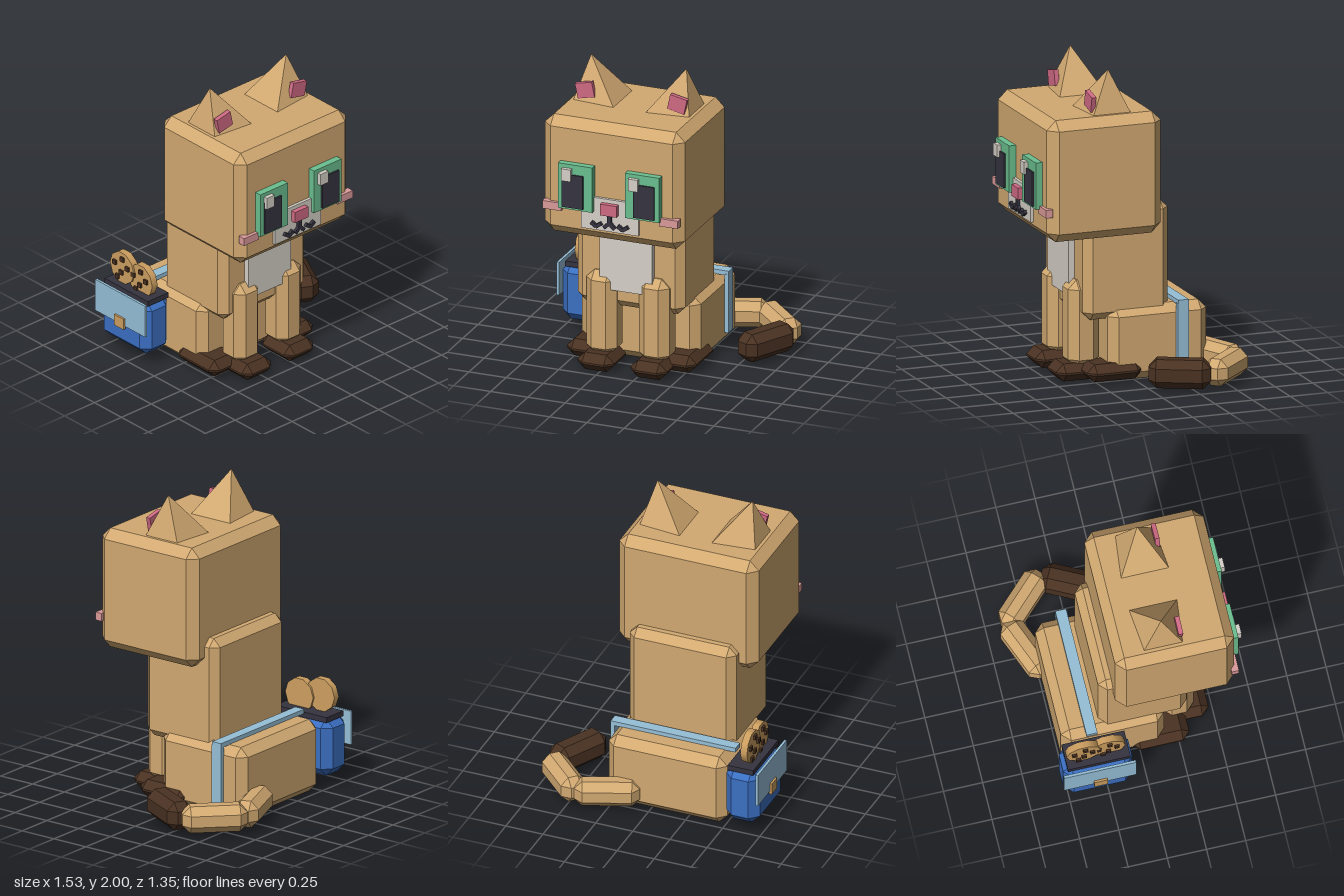
import * as THREE from 'three';
import { ConvexGeometry } from 'three/addons/geometries/ConvexGeometry.js';

const palette = {
  tanFur: 0xd2a971, darkBrown: 0x4a3222, cream: 0xd6d0c7, eyeGreen: 0x6abf8f, rose: 0xd06a84,
  blush: 0xdc9a9a, charcoal: 0x35333f, bagBlue: 0x3b6fc2, strapBlue: 0x96bfd7, biscuit: 0xcd9f60,
};
const MID = -0.105; // the cat's mirror plane, x
const flip = (x) => 2 * MID - x;

// Box with every edge and corner cut at 45 degrees
function chamferBox(w, h, d, c) {
  const pts = [];
  for (const sx of [-1, 1]) for (const sy of [-1, 1]) for (const sz of [-1, 1]) {
    const [x, y, z] = [sx * w / 2, sy * h / 2, sz * d / 2];
    pts.push(
      new THREE.Vector3(x, y - sy * c, z - sz * c),
      new THREE.Vector3(x - sx * c, y, z - sz * c),
      new THREE.Vector3(x - sx * c, y - sy * c, z));
  }
  return new ConvexGeometry(pts);
}

export function createModel() {
  const model = new THREE.Group();
  model.name = 'cat';
  const mats = {};
  for (const [name, color] of Object.entries(palette)) {
    mats[name] = new THREE.MeshStandardMaterial({ color });
    mats[name].name = name;
  }

  function add(name, geometry, mat, x = 0, y = 0, z = 0) {
    const mesh = new THREE.Mesh(geometry, mats[mat]);
    mesh.name = name;
    mesh.position.set(x, y, z);
    model.add(mesh);
    return mesh;
  }
  // Box from its limits, with an optional chamfer
  function box(name, mat, [x0, x1], [y0, y1], [z0, z1], c = 0) {
    const w = x1 - x0, h = y1 - y0, d = z1 - z0;
    const geo = c ? chamferBox(w, h, d, c) : new THREE.BoxGeometry(w, h, d);
    return add(name, geo, mat, (x0 + x1) / 2, (y0 + y1) / 2, (z0 + z1) / 2);
  }
  // The same box on both sides of the cat
  function pair(name, mat, [x0, x1], ys, zs, c) {
    box(name + 'Right', mat, [x0, x1], ys, zs, c);
    box(name + 'Left', mat, [flip(x1), flip(x0)], ys, zs, c);
  }

  // Head and body
  box('head', 'tanFur', [-0.575, 0.365], [0.95, 1.73], [-0.16, 0.6], 0.06);
  box('torso', 'tanFur', [-0.465, 0.255], [0.4, 1.13], [-0.245, 0.32], 0.05);
  box('haunches', 'tanFur', [-0.505, 0.295], [0.005, 0.475], [-0.49, 0.17], 0.055);
  box('chestPatch', 'cream', [-0.285, 0.07], [0.53, 0.96], [0.3, 0.36]);

  // Legs and paws
  pair('frontLeg', 'tanFur', [-0.385, -0.18], [0.08, 0.64], [0.18, 0.385], 0.055);
  pair('frontPaw', 'darkBrown', [-0.405, -0.16], [0.005, 0.117], [0.18, 0.475], 0.05);
  pair('hindPaw', 'darkBrown', [-0.54, -0.29], [0.018, 0.13], [-0.05, 0.32], 0.05);

  // Ears: four-sided pyramids with tilted pink inserts
  for (const side of [1, -1]) {
    const label = side > 0 ? 'Right' : 'Left';
    const sx = (x) => (side > 0 ? x : flip(x));
    const corners = [[-0.495, 1.725, 0.03], [-0.21, 1.725, 0], [-0.21, 1.725, 0.31],
      [-0.495, 1.725, 0.28], [-0.425, 2, 0.155]];
    add('ear' + label, new ConvexGeometry(corners.map(([x, y, z]) => new THREE.Vector3(sx(x), y, z))), 'tanFur');
    add('innerEar' + label, new THREE.BoxGeometry(0.115, 0.1, 0.03), 'rose', sx(-0.415), 1.805, 0.27)
      .rotation.z = side * 0.21;
  }

  // Eyes
  pair('iris', 'eyeGreen', [-0.445, -0.215], [1.15, 1.45], [0.59, 0.645]);
  pair('pupil', 'charcoal', [-0.415, -0.275], [1.165, 1.385], [0.63, 0.657]);
  for (const x of [-0.415, 0.035]) box('eyeGlint', 'cream', [x, x + 0.065], [1.345, 1.425], [0.63, 0.672]);

  // Muzzle, nose, cheeks and mouth
  box('muzzle', 'cream', [-0.3, 0.085], [1.03, 1.245], [0.59, 0.62]);
  box('nose', 'rose', [-0.16, -0.05], [1.145, 1.22], [0.61, 0.652]);
  pair('cheek', 'blush', [-0.56, -0.435], [1.12, 1.172], [0.575, 0.622]);
  box('mouthStem', 'charcoal', [-0.118, -0.092], [1.085, 1.15], [0.61, 0.64]);
  for (const s of [-1, 1]) {
    for (const [dx, y, angle] of [[0.02, 1.073, -0.75], [0.073, 1.07, 0.6], [0.103, 1.07, -0.6]]) {
      const flipAngle = dx > 0.05 ? -1 : 1;
      const d = dx > 0.09 ? 0.105 : dx;
      add('mouthCurve', new THREE.BoxGeometry(0.045, 0.024, 0.03), 'charcoal', MID + s * d, y, 0.625)
        .rotation.z = s * angle * flipAngle;
    }
  }

  // Tail: three blocks curling forward, dark at the tip
  for (const [name, mat, x, z, length, thick, turn] of [
    ['tailBase', 'tanFur', 0.26, -0.545, 0.41, 0.165, 0.375],
    ['tailMiddle', 'tanFur', 0.576, -0.488, 0.41, 0.165, -Math.PI / 4],
    ['tailTip', 'darkBrown', 0.615, -0.168, 0.39, 0.175, -2.04],
  ]) {
    add(name, chamferBox(length, thick + 0.008, thick, 0.05), mat, x, 0.118, z).rotation.y = turn;
  }

  // Saddle strap
  box('strapTop', 'strapBlue', [-0.52, 0.322], [0.472, 0.502], [-0.342, -0.272]);
  box('strapSide', 'strapBlue', [0.294, 0.322], [0.09, 0.48], [-0.342, -0.268]);

  // Saddle bag
  box('bag', 'bagBlue', [-0.74, -0.515], [0.08, 0.457], [-0.53, -0.09], 0.055);
  box('bagOpening', 'charcoal', [-0.708, -0.535], [0.44, 0.475], [-0.505, -0.105]);
  box('bagFlap', 'strapBlue', [-0.755, -0.738], [0.25, 0.47], [-0.54, -0.08]);
  box('bagClasp', 'biscuit', [-0.768, -0.75], [0.23, 0.305], [-0.35, -0.265]);

  // Biscuits with chips on their outer side
  for (const [x, y, z] of [[-0.642, 0.58, -0.393], [-0.63, 0.55, -0.235]]) {
    add('biscuit', new THREE.CylinderGeometry(0.11, 0.11, 0.045, 10).rotateZ(Math.PI / 2), 'biscuit', x, y, z);
    for (const [dy, dz] of [[0.065, 0.01], [0.02, -0.06], [0.015, 0.055], [-0.03, 0], [-0.07, -0.035]]) {
      add('chip', new THREE.BoxGeometry(0.025, 0.03, 0.03), 'darkBrown', x - 0.024, y + dy, z + dz);
    }
  }
  return model;
}
